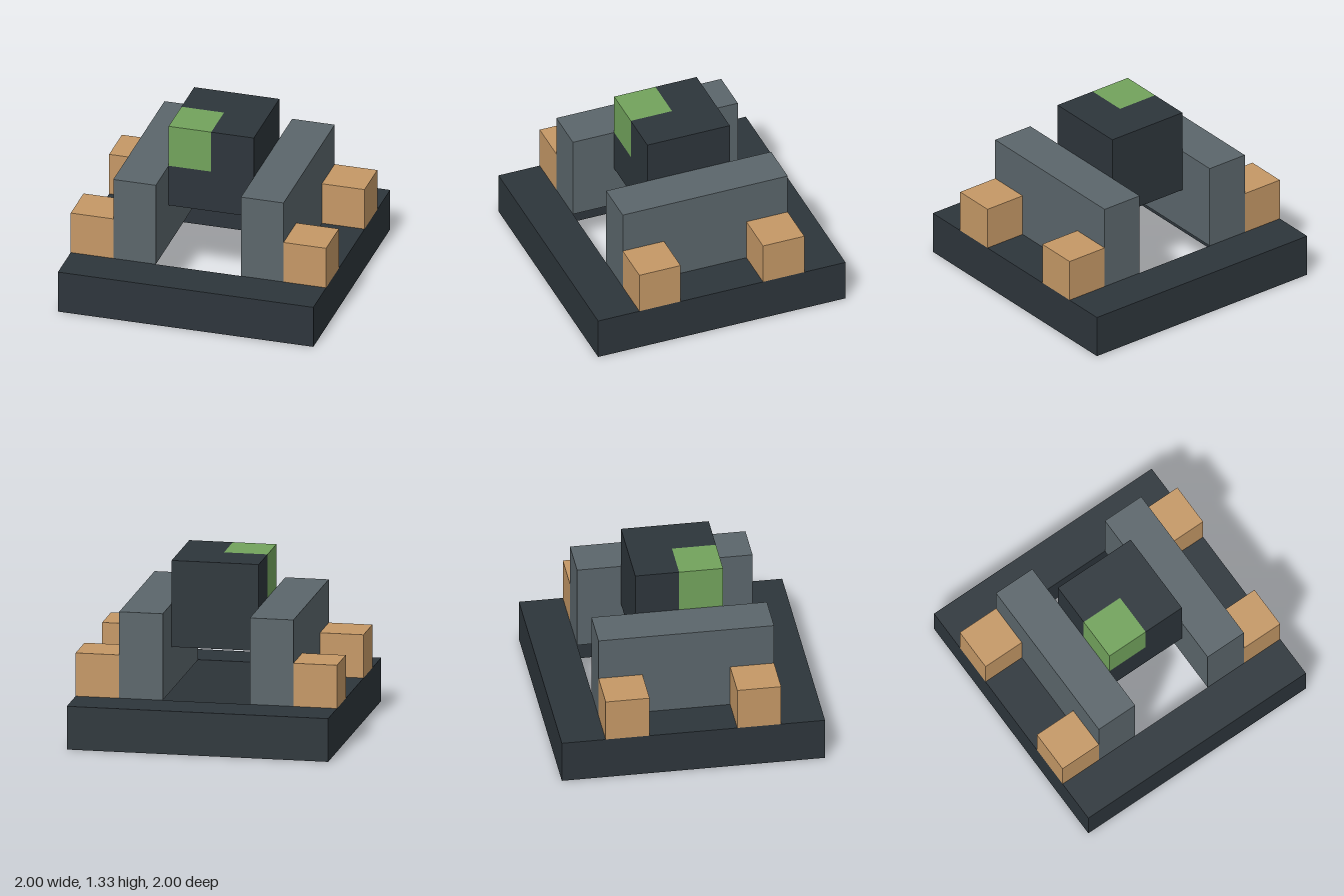
import * as THREE from 'three';

const U = 1 / 3; // one block unit

function material(name, color) {
  const m = new THREE.MeshStandardMaterial({ color });
  m.name = name;
  return m;
}

export function createModel() {
  const model = new THREE.Group();
  model.name = 'blockModel';
  const charcoal = material('charcoal', 0x2d353b);
  const slate = material('slate', 0x5b666b);
  const tan = material('tan', 0xc59866);
  const green = material('green', 0x72a35c);

  const add = (name, geometry, mat) => {
    const mesh = new THREE.Mesh(geometry, mat);
    mesh.name = name;
    model.add(mesh);
    return mesh;
  };

  // Box given by its size and centre, in block units
  const box = (name, [w, h, d], [x, y, z], mat) =>
    add(name, new THREE.BoxGeometry(w * U, h * U, d * U), mat)
      .position.set(x * U, y * U, z * U);

  // Flat outline (x, -z) raised by one unit, with its bottom at y
  const slab = (name, shape, y, mat) => {
    const geometry = new THREE.ExtrudeGeometry(shape, { depth: U, bevelEnabled: false });
    geometry.rotateX(-Math.PI / 2);
    add(name, geometry, mat).position.y = y * U;
  };

  const outline = (points, Type = THREE.Shape) =>
    new Type(points.map(([x, y]) => new THREE.Vector2(x * U, y * U)));
  const square = (r) => [[-r, -r], [r, -r], [r, r], [-r, r]];

  // Square base frame, open in the middle
  const frame = outline(square(3));
  frame.holes.push(outline(square(2).reverse(), THREE.Path));
  slab('baseFrame', frame, 0, charcoal);

  // Side walls, each with two small outer blocks
  for (const s of [-1, 1]) {
    const side = s > 0 ? 'left' : 'right';
    box(`${side}Wall`, [1, 2, 4], [1.5 * s, 2, 0], slate);
    for (const e of [-1, 1]) {
      box(`${side}${e > 0 ? 'Front' : 'Back'}Block`, [1, 1, 1], [2.5 * s, 1.5, 1.5 * e], tan);
    }
  }

  // Raised centre block with a green cube filling one upper corner
  box('centreLower', [2, 1, 2], [0, 2.5, 0], charcoal);
  slab('centreUpper', outline([[0, -1], [1, -1], [1, 1], [-1, 1], [-1, 0], [0, 0]]), 3, charcoal);
  box('cornerCube', [1, 1, 1], [-0.5, 3.5, 0.5], green);

  return model;
}
